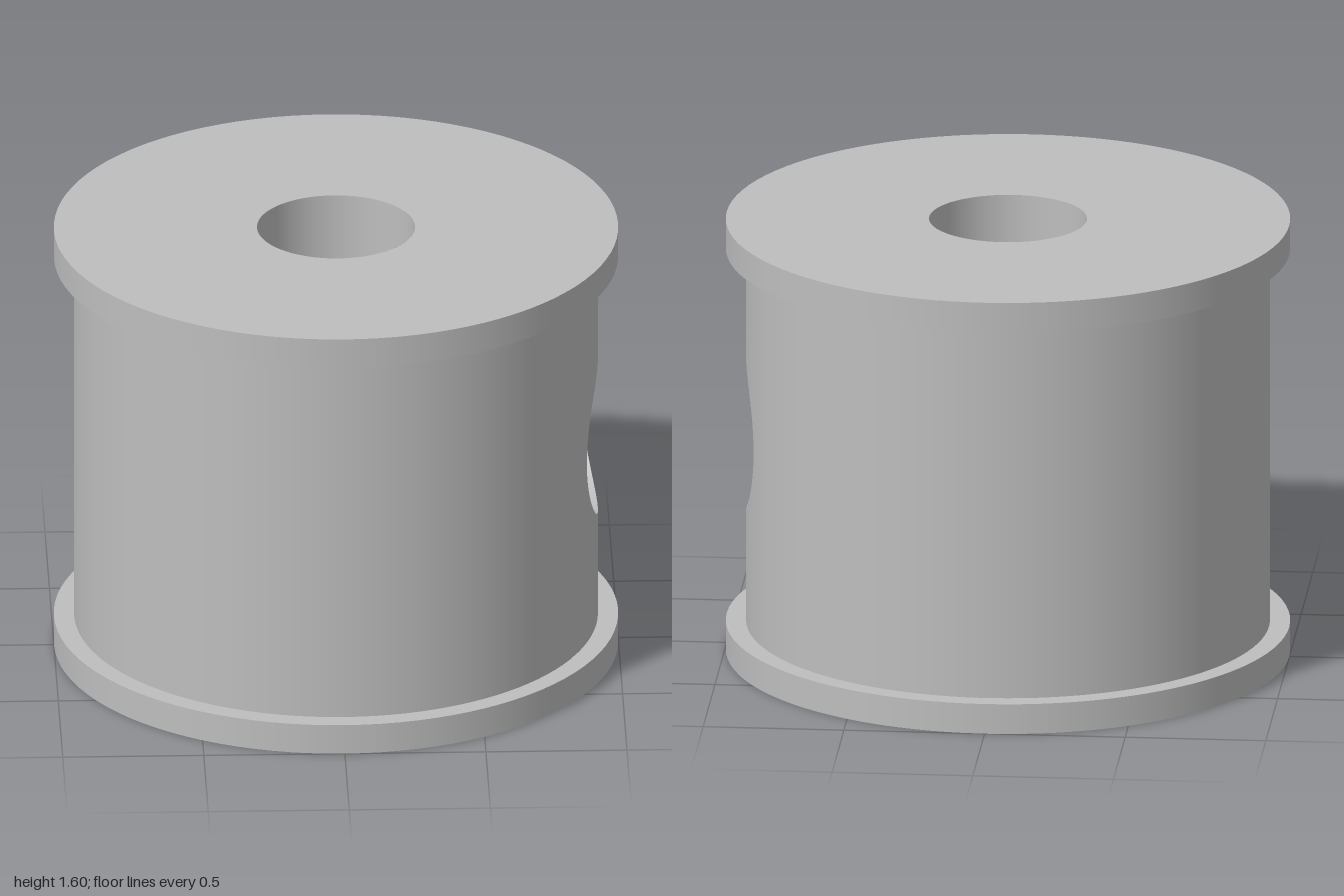
import * as THREE from 'three';
import { ParametricGeometry } from 'three/addons/geometries/ParametricGeometry.js';

const H = 1.6, LIP = 0.11, R_RIM = 1, R_BODY = 0.928, R_BORE = 0.28;
const HOLE_Y = 0.8, R_HEAD = 0.295, R_SCREW = 0.148, HEAD_FLOOR = 0.62;
const SLOT = { x0: 0.352, x1: 0.593, z: 0.262, top: 1.06 };
const SEG = 96;

export function createModel() {
  const model = new THREE.Group();
  const grey = new THREE.MeshStandardMaterial({ color: 0xbebebe, side: THREE.DoubleSide });
  grey.name = 'plain grey';

  const add = (name, geometry, parent = model) => {
    const mesh = new THREE.Mesh(geometry, grey);
    mesh.name = name;
    parent.add(mesh);
    return mesh;
  };
  const group = (name) => {
    const g = new THREE.Group();
    g.name = name;
    model.add(g);
    return g;
  };

  // Cylinder wall from y0 to y1, pierced on the +x side by a round cross hole
  const piercedWall = (name, R, r, half, y0, y1, outward) => {
    const g = group(name);
    const rest = new THREE.CylinderGeometry(R, R, y1 - y0, SEG, 1, true, Math.PI / 2 + half, 2 * Math.PI - 2 * half);
    add(name + 'Round', rest.translate(0, (y0 + y1) / 2, 0), g);
    const patch = (u, v, p) => {
      const c = Math.cos(u * 2 * Math.PI), s = Math.sin(u * 2 * Math.PI);
      const k = 1 / Math.max(Math.abs(c), Math.abs(s));
      const t = outward ? v : 1 - v;
      const angle = THREE.MathUtils.lerp(Math.asin(r * c / R), half * k * c, t);
      const y = THREE.MathUtils.lerp(HOLE_Y + r * s, (y0 + y1) / 2 + k * s * (y1 - y0) / 2, t);
      p.set(R * Math.cos(angle), y, R * Math.sin(angle));
    };
    add(name + 'AroundHole', new ParametricGeometry(patch, 64, 10), g);
  };
  piercedWall('drumWall', R_BODY, R_HEAD, 0.5, LIP, H - LIP, true);
  piercedWall('boreWall', R_BORE, R_SCREW, 1.0, 0, H, false);

  // Flanges: outer rims and the narrow ledges facing the drum
  for (const [name, y, ledgeY, turn] of [
    ['bottomFlange', LIP / 2, LIP, -1],
    ['topFlange', H - LIP / 2, H - LIP, 1],
  ]) {
    const g = group(name);
    add(name + 'Rim', new THREE.CylinderGeometry(R_RIM, R_RIM, LIP, SEG, 1, true).translate(0, y, 0), g);
    const ledge = new THREE.RingGeometry(R_BODY - 0.01, R_RIM, SEG);
    add(name + 'Ledge', ledge.rotateX(turn * Math.PI / 2).translate(0, ledgeY, 0), g);
  }
  add('topFace', new THREE.RingGeometry(R_BORE, R_RIM, SEG).rotateX(-Math.PI / 2).translate(0, H, 0));

  const circle = (r, y = 0) => new THREE.Path().absarc(0, y, r, 0, 2 * Math.PI);
  const rectangle = (Type, x0, x1, y0, y1) => new Type([
    [x0, y0], [x1, y0], [x1, y1], [x0, y1],
  ].map(([x, y]) => new THREE.Vector2(x, y)));

  // Underside with the bore and the rectangular nut slot
  const underside = new THREE.Shape().absarc(0, 0, R_RIM, 0, 2 * Math.PI);
  underside.holes.push(circle(R_BORE), rectangle(THREE.Path, SLOT.x0, SLOT.x1, -SLOT.z, SLOT.z));
  add('bottomFace', new THREE.ShapeGeometry(underside, SEG / 2).rotateX(Math.PI / 2));

  // Cross hole: wide head recess, then a narrow shaft that meets the slot and bore
  const crossHole = group('crossHole');
  const tube = (name, r, innerX, outerX) => add(name, new ParametricGeometry((u, v, p) => {
    const z = r * Math.cos(u * 2 * Math.PI);
    p.set(THREE.MathUtils.lerp(innerX(z), outerX(z), v), HOLE_Y + r * Math.sin(u * 2 * Math.PI), z);
  }, 64, 2), crossHole);
  const onCylinder = (R) => (z) => Math.sqrt(R * R - z * z);
  tube('headRecess', R_HEAD, () => HEAD_FLOOR, onCylinder(R_BODY));
  tube('outerShaft', R_SCREW, () => SLOT.x1, () => HEAD_FLOOR);
  tube('innerShaft', R_SCREW, onCylinder(R_BORE), () => SLOT.x0);
  const floor = new THREE.RingGeometry(R_SCREW, R_HEAD, 64);
  add('recessFloor', floor.rotateY(Math.PI / 2).translate(HEAD_FLOOR, HOLE_Y, 0), crossHole);

  // Nut slot: two drilled walls, two end walls and a ceiling
  const slot = group('nutSlot');
  const depth = SLOT.x1 - SLOT.x0, midX = (SLOT.x0 + SLOT.x1) / 2;
  for (const [x, turn] of [[SLOT.x0, 1], [SLOT.x1, -1]]) {
    const wall = rectangle(THREE.Shape, -SLOT.z, SLOT.z, 0, SLOT.top);
    wall.holes.push(circle(R_SCREW, HOLE_Y));
    add('slotDrilledWall', new THREE.ShapeGeometry(wall, 32).rotateY(turn * Math.PI / 2).translate(x, 0, 0), slot);
  }
  for (const side of [-1, 1]) {
    const end = new THREE.PlaneGeometry(depth, SLOT.top);
    if (side > 0) end.rotateY(Math.PI);
    add('slotEndWall', end.translate(midX, SLOT.top / 2, side * SLOT.z), slot);
  }
  const ceiling = new THREE.PlaneGeometry(depth, 2 * SLOT.z).rotateX(Math.PI / 2);
  add('slotCeiling', ceiling.translate(midX, SLOT.top, 0), slot);

  return model;
}
